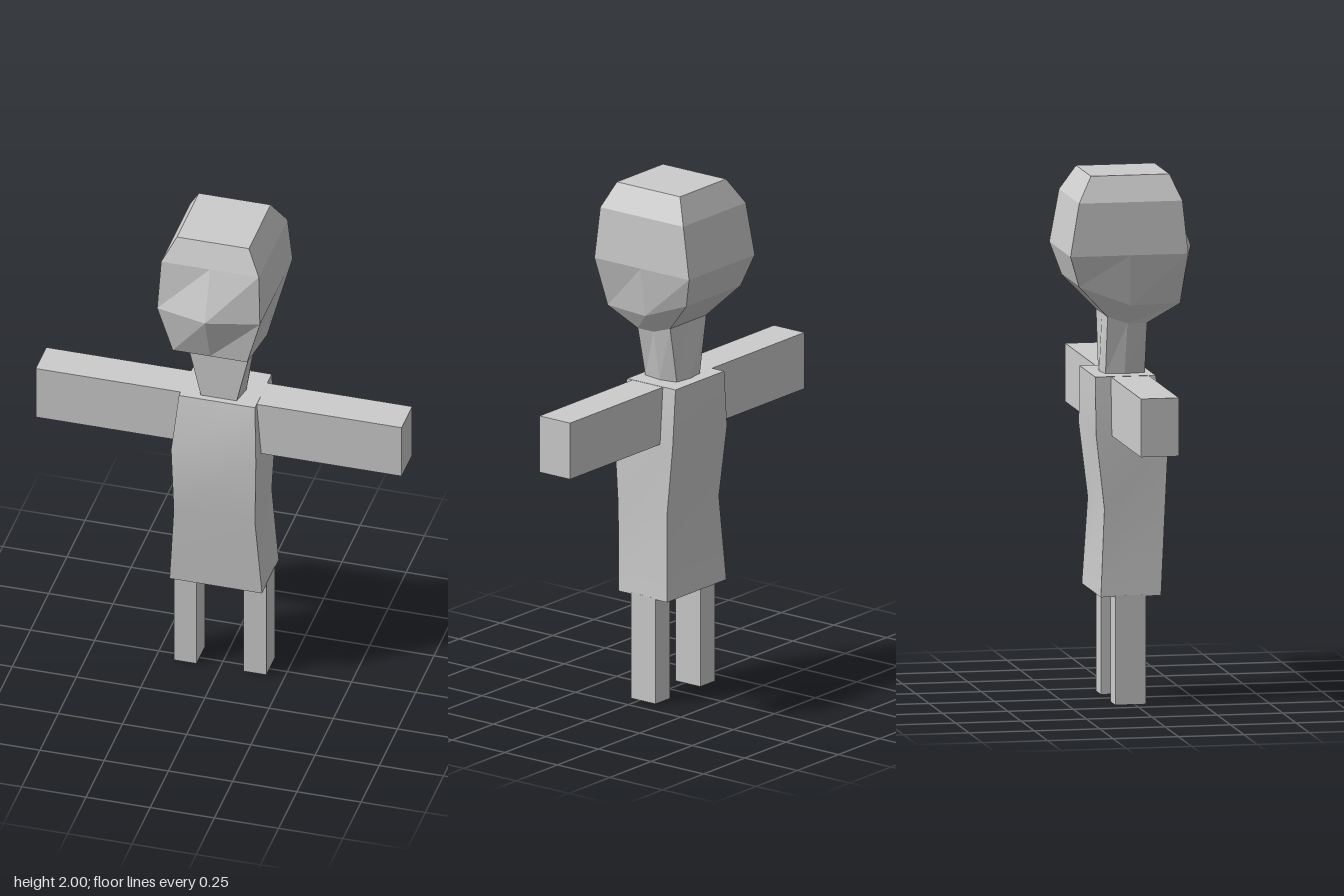
import * as THREE from 'three';
import { toCreasedNormals } from 'three/addons/utils/BufferGeometryUtils.js';

const grey = new THREE.MeshStandardMaterial({ color: 0xcccccc });
const faceted = new THREE.MeshStandardMaterial({ color: 0xcccccc, flatShading: true });

// Joins rings of [x, y, z] points, listed bottom to top and counter-clockwise seen from above
function loft(rings, capBottom, capTop) {
  const n = rings[0].length;
  const pos = rings.flat(2);
  const index = [];
  for (let r = 0; r < rings.length - 1; r++) {
    for (let j = 0; j < n; j++) {
      const k = (j + 1) % n;
      const a = r * n + j, b = r * n + k, c = b + n, d = a + n;
      index.push(a, b, c, a, c, d);
    }
  }
  const top = (rings.length - 1) * n;
  for (let j = 1; j < n - 1; j++) {
    if (capBottom) index.push(0, j + 1, j);
    if (capTop) index.push(top, top + j, top + j + 1);
  }
  const geo = new THREE.BufferGeometry();
  geo.setAttribute('position', new THREE.Float32BufferAttribute(pos, 3));
  geo.setIndex(index);
  geo.computeVertexNormals();
  return geo;
}

// Half ring from front centre to back centre, mirrored to the other side
const mirrorRing = (half) => [
  ...half,
  ...half.slice(1, -1).reverse().map(([x, y, z]) => [-x, y, z]),
];

function mesh(name, geo, material = grey) {
  const m = new THREE.Mesh(geo, material);
  m.name = name;
  return m;
}

function block(name, x0, x1, y0, y1, z0, z1) {
  const m = mesh(name, new THREE.BoxGeometry(x1 - x0, y1 - y0, z1 - z0));
  m.position.set((x0 + x1) / 2, (y0 + y1) / 2, (z0 + z1) / 2);
  return m;
}

export function createModel() {
  const model = new THREE.Group();
  model.name = 'figure';

  // Neck: front centre, front corner, side, back corner, back centre
  const neckBase = mirrorRing([
    [0, 1.24, 0.06], [0.07, 1.24, 0.06], [0.085, 1.24, -0.02], [0.07, 1.24, -0.09], [0, 1.24, -0.1],
  ]);
  const neckTop = mirrorRing([
    [0, 1.435, 0.06], [0.115, 1.435, 0.06], [0.115, 1.435, -0.015], [0.11, 1.46, -0.09], [0, 1.46, -0.09],
  ]);
  model.add(mesh('neck', loft([neckBase, neckTop], true, false), faceted));

  // Head, with a ridge down the middle of the face
  const head = [
    neckTop,
    mirrorRing([[0, 1.51, 0.18], [0.145, 1.51, 0.18], [0.168, 1.51, -0.015], [0.165, 1.585, -0.21], [0, 1.585, -0.21]]),
    mirrorRing([[0, 1.705, 0.25], [0.2, 1.705, 0.2], [0.2, 1.705, -0.02], [0.2, 1.705, -0.25], [0, 1.705, -0.25]]),
    mirrorRing([[0, 1.905, 0.18], [0.19, 1.905, 0.18], [0.19, 1.905, -0.015], [0.19, 1.905, -0.215], [0, 1.905, -0.215]]),
    mirrorRing([[0, 2, 0.14], [0.14, 2, 0.14], [0.14, 2, -0.01], [0.14, 2, -0.16], [0, 2, -0.16]]),
  ];
  model.add(mesh('head', loft(head, false, true), faceted));

  // Torso: [height, half width, front, back]
  const torso = [
    [0.41, 0.18, 0.1, -0.13],
    [0.74, 0.158, 0.12, -0.112],
    [1.02, 0.165, 0.132, -0.145],
    [1.24, 0.148, 0.085, -0.145],
  ].map(([y, w, f, b]) => [[-w, y, f], [w, y, f], [w, y, b], [-w, y, b]]);
  model.add(mesh('torso', toCreasedNormals(loft(torso, true, true), 0.6)));

  // Arms and legs
  for (const [side, s] of [['left', 1], ['right', -1]]) {
    const span = (a, b) => (s > 0 ? [a, b] : [-b, -a]);
    model.add(block(side + 'Arm', ...span(0.14, 0.712), 1.018, 1.239, -0.085, 0.06));
    model.add(block(side + 'Leg', ...span(0.092, 0.18), 0, 0.415, -0.075, 0.042));
  }
  return model;
}
